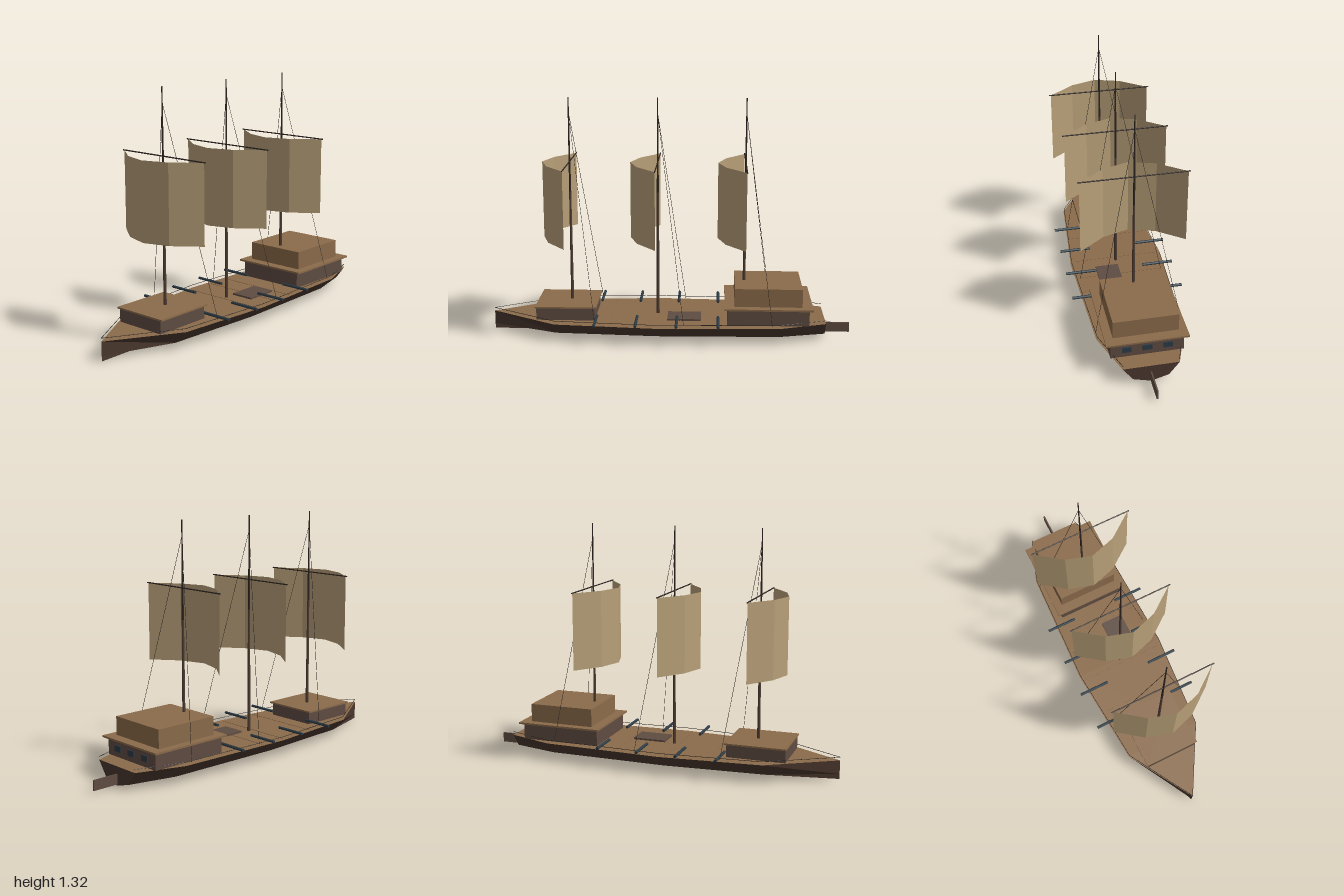
import * as THREE from 'three';

const flat = (name, color) => Object.assign(new THREE.MeshStandardMaterial({ color }), { name });

export function createModel() {
  const ship = new THREE.Group();
  ship.name = 'sailingShip';

  const hullMat = flat('darkHullWood', 0x4a382e);
  const deckMat = flat('deckWood', 0x8b6b4a);
  const cabinMat = flat('cabinWood', 0x5f4c42);
  const mastMat = flat('mastWood', 0x4e3d33);
  const sparMat = flat('sparsAndRope', 0x2e2622);
  const ironMat = flat('gunIron', 0x2c3c46);
  const sailMat = flat('canvas', 0xb8a078);
  sailMat.side = THREE.DoubleSide;

  const add = (name, geometry, material, x = 0, y = 0, z = 0, parent = ship) => {
    const mesh = new THREE.Mesh(geometry, material);
    mesh.name = name;
    mesh.position.set(x, y, z);
    parent.add(mesh);
    return mesh;
  };
  // Box given by its extents
  const box = (name, mat, x0, x1, y0, y1, z0, z1) =>
    add(name, new THREE.BoxGeometry(x1 - x0, y1 - y0, z1 - z0), mat,
      (x0 + x1) / 2, (y0 + y1) / 2, (z0 + z1) / 2);
  // Straight round rod between two points
  const rod = (name, mat, a, b, r0, r1 = r0, sides = 6, parent = ship) => {
    const from = new THREE.Vector3(...a), to = new THREE.Vector3(...b);
    const dir = to.clone().sub(from);
    const mesh = add(name, new THREE.CylinderGeometry(r1, r0, dir.length(), sides), mat, 0, 0, 0, parent);
    mesh.position.copy(from).add(to).multiplyScalar(0.5);
    mesh.quaternion.setFromUnitVectors(new THREE.Vector3(0, 1, 0), dir.normalize());
    return mesh;
  };
  const faceted = (triangles) => {
    const g = new THREE.BufferGeometry();
    g.setAttribute('position', new THREE.Float32BufferAttribute(triangles.flat(), 3));
    g.computeVertexNormals();
    return g;
  };

  // Hull stations from bow to stern: z, deck half width, chine half width
  const DECK = 0.105;
  const stations = [[1, 0, 0], [0.63, 0.222, 0.145], [0.07, 0.267, 0.177], [-0.6, 0.24, 0.16], [-0.855, 0.15, 0.095]];
  const rings = stations.map(([z, w, c]) =>
    [[w, DECK, z], [c, 0.03, z], [0, 0.002, z], [-c, 0.03, z], [-w, DECK, z]]);
  const hull = [], deck = [];
  for (let i = 0; i < rings.length - 1; i++) {
    const p = rings[i], q = rings[i + 1];
    for (let j = 0; j < 4; j++) hull.push(p[j], p[j + 1], q[j + 1], p[j], q[j + 1], q[j]);
    deck.push(p[0], q[0], q[4], p[0], q[4], p[4]);
  }
  const stern = rings[rings.length - 1];
  for (let j = 1; j < 4; j++) hull.push(stern[0], stern[j], stern[j + 1]);
  add('hull', faceted(hull), hullMat);
  add('deck', faceted(deck), deckMat);

  // Low seams across the deck
  for (const z of [0.33, 0.1, -0.06, -0.19])
    box('deckSeam', deckMat, -0.24, 0.24, DECK, DECK + 0.002, z - 0.003, z + 0.003);

  // Thin rails along both deck edges
  for (const s of [1, -1])
    for (let i = 0; i < stations.length - 1; i++) {
      const [za, wa] = stations[i], [zb, wb] = stations[i + 1];
      rod('rail', sparMat, [s * wa * 0.98, 0.123, za], [s * wb * 0.98, 0.123, zb], 0.0015, 0.0015, 5);
    }

  // Forecastle
  box('forecastle', cabinMat, -0.147, 0.147, DECK, 0.175, 0.415, 0.738);
  box('forecastleRoof', deckMat, -0.16, 0.16, 0.175, 0.184, 0.405, 0.743);

  // Stern cabins
  box('sternCabin', cabinMat, -0.195, 0.195, DECK, 0.195, -0.76, -0.315);
  box('sternCabinRoof', deckMat, -0.22, 0.22, 0.195, 0.205, -0.78, -0.3);
  box('upperCabin', deckMat, -0.175, 0.175, 0.205, 0.306, -0.722, -0.355);
  for (const x of [-0.11, 0, 0.11])
    box('sternWindow', ironMat, x - 0.025, x + 0.025, 0.135, 0.167, -0.766, -0.759);

  // Hatch and rudder
  box('hatch', cabinMat, 0, 0.13, DECK, 0.115, -0.17, 0.015);
  box('rudder', cabinMat, -0.004, 0.004, 0.01, 0.065, -1, -0.85);

  // Guns on each side
  for (const z of [-0.265, -0.04, 0.18, 0.402])
    for (const s of [1, -1])
      rod('gun', ironMat, [s * 0.135, 0.13, z], [s * 0.31, 0.13, z], 0.008, 0.008, 8);

  // Square sail bellied forward in four panels
  const canvas = [];
  const edge = (i, y) => [-0.283 + i * 0.1415, y, 0.15 * Math.sin(i * Math.PI / 4)];
  for (let i = 0; i < 4; i++) {
    const a = edge(i, 0.545), b = edge(i + 1, 0.545), c = edge(i + 1, 0.967), d = edge(i, 0.967);
    canvas.push(a, b, c, a, c, d);
  }
  const sailGeometry = faceted(canvas);

  // Three masts with yard, sail and shrouds
  for (const [name, z] of [['foreMast', 0.555], ['mainMast', 0.072], ['mizzenMast', -0.408]]) {
    const rig = new THREE.Group();
    rig.name = name;
    rig.position.z = z;
    ship.add(rig);
    rod('lowerMast', mastMat, [0, DECK, 0], [0, 0.8, 0], 0.009, 0.006, 8, rig);
    rod('topMast', sparMat, [0, 0.8, 0], [0, 1.32, 0], 0.006, 0.003, 8, rig);
    rod('yard', sparMat, [-0.292, 0.968, 0], [0.292, 0.968, 0], 0.0035, 0.0035, 6, rig);
    add('sail', sailGeometry, sailMat, 0, 0, 0, rig);
    for (const s of [1, -1])
      rod('shroud', sparMat, [0, 1.24, 0], [s * 0.235, 0.115, -0.15], 0.0012, 0.0012, 4, rig);
  }
  return ship;
}
